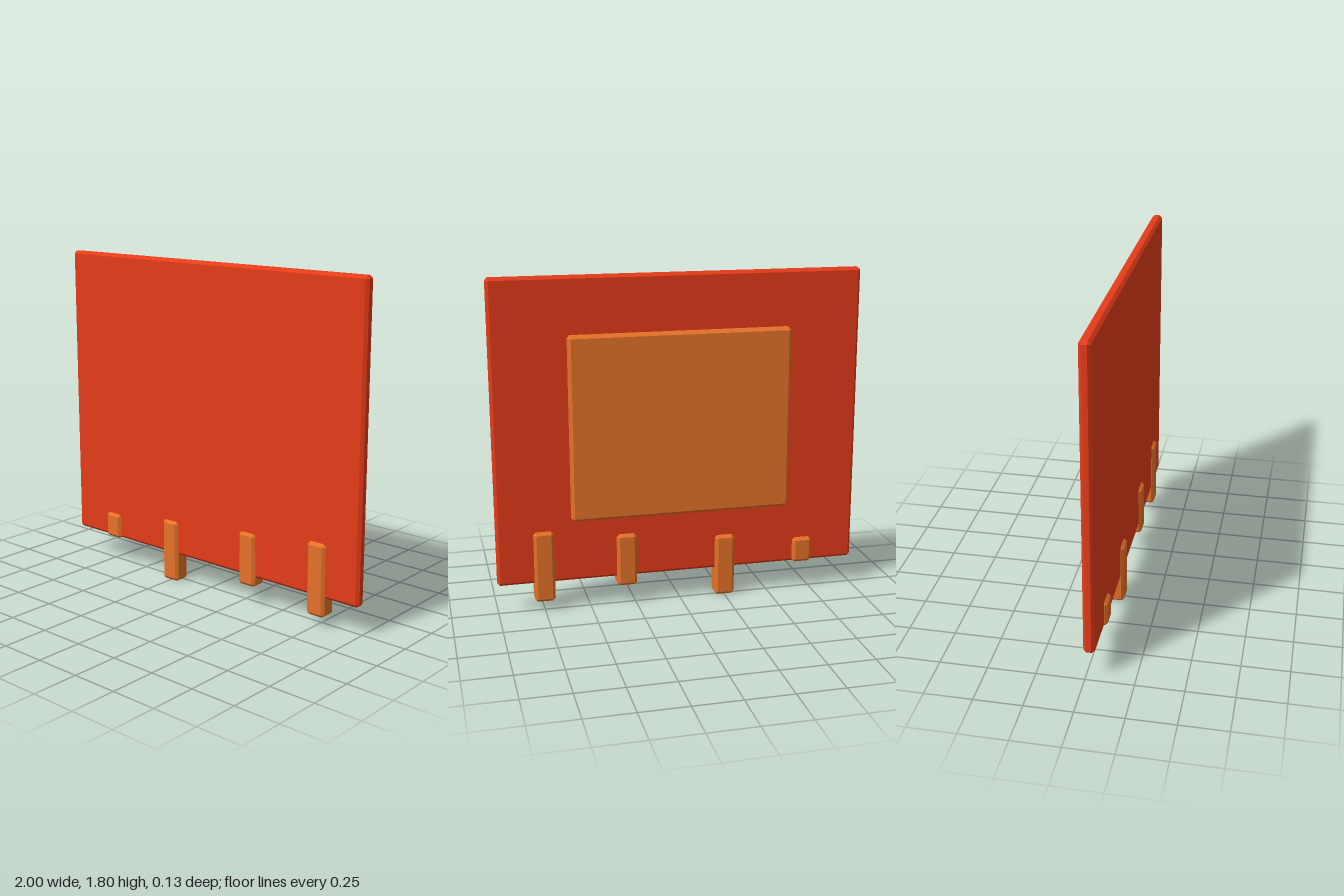
import * as THREE from 'three';
import { ConvexGeometry } from 'three/addons/geometries/ConvexGeometry.js';

const red = new THREE.MeshStandardMaterial({ color: 0xe63c19, flatShading: true });
const orange = new THREE.MeshStandardMaterial({ color: 0xe67329, flatShading: true });

// Box with every edge chamfered, given by its minimum and maximum corners
function chamferedBox(name, material, min, max, bevel = 0.015) {
  const half = max.map((v, i) => (v - min[i]) / 2);
  const points = [];
  for (const sx of [-1, 1]) for (const sy of [-1, 1]) for (const sz of [-1, 1]) {
    const sign = [sx, sy, sz];
    // each corner becomes three points, one on each adjoining face
    for (let face = 0; face < 3; face++) {
      points.push(new THREE.Vector3(...sign.map((s, i) => s * (half[i] - (i === face ? 0 : bevel)))));
    }
  }
  const mesh = new THREE.Mesh(new ConvexGeometry(points), material);
  mesh.position.set(...max.map((v, i) => (v + min[i]) / 2));
  mesh.name = name;
  return mesh;
}

export function createModel() {
  const model = new THREE.Group();
  model.name = 'panelWithDrips';

  // Main panel and the plate on its back
  model.add(chamferedBox('panel', red, [-1, 0.155, -0.008], [1, 1.8, 0.05]));
  model.add(chamferedBox('backPlate', orange, [-0.6, 0.505, -0.067], [0.6, 1.5, -0.008]));

  // Strips of different lengths straddling the lower edge: centre x, bottom, top
  const strips = [
    [-0.703, 0.153, 0.295],
    [-0.253, 0, 0.347],
    [0.298, 0.105, 0.398],
    [0.748, 0.053, 0.446],
  ];
  strips.forEach(([x, bottom, top], i) => {
    model.add(chamferedBox(`strip${i + 1}`, orange, [x - 0.055, bottom, -0.03], [x + 0.055, top, 0.067]));
  });
  return model;
}
